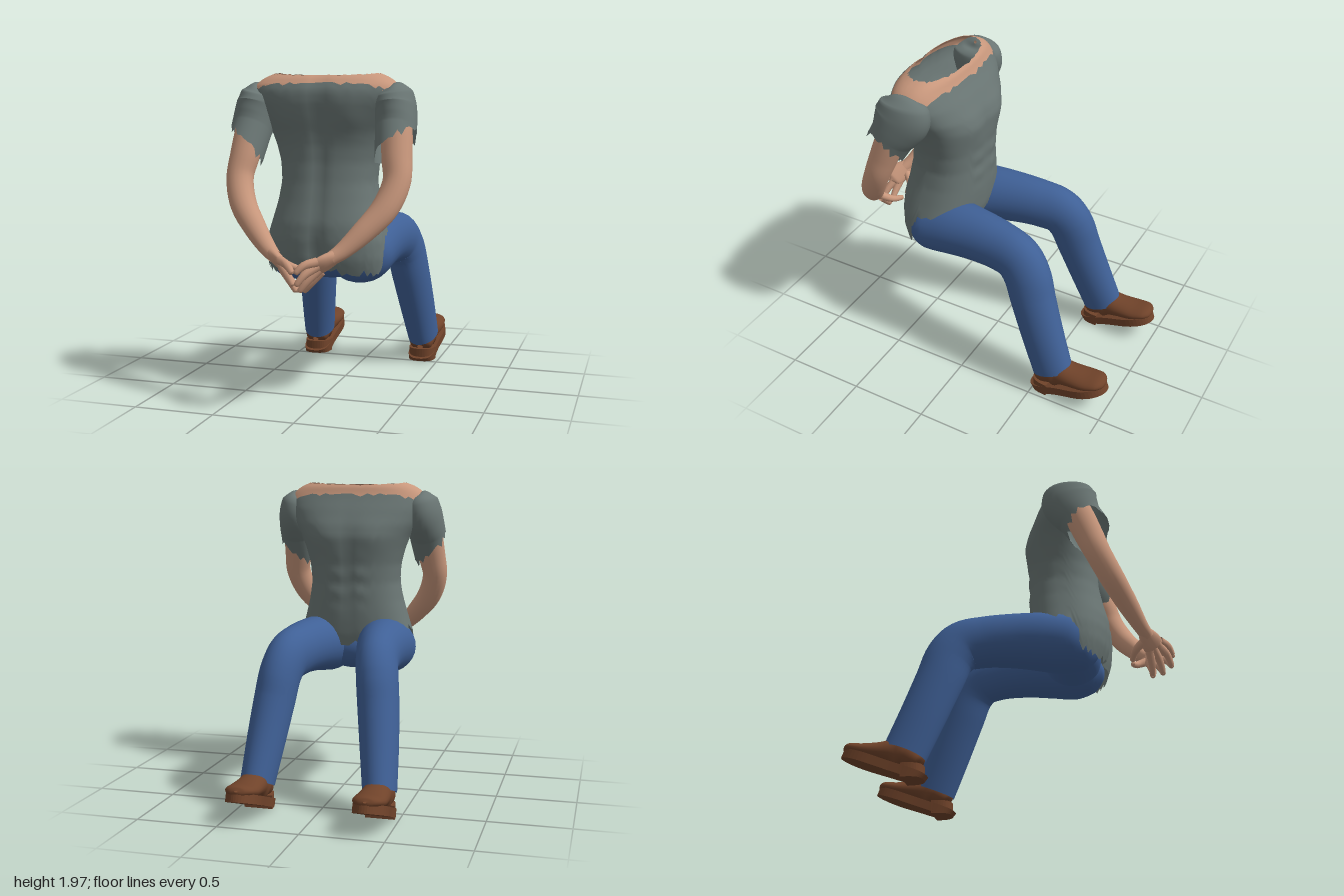
import * as THREE from 'three';

const mat = (name, color) => {
  const m = new THREE.MeshStandardMaterial({ color, side: THREE.DoubleSide });
  m.name = name;
  return m;
};

// Skin a list of closed rings (arrays of Vector3) into one smooth surface
function loft(rows) {
  const n = rows[0].length, index = [];
  for (let i = 0; i < rows.length - 1; i++) {
    for (let j = 0; j < n; j++) {
      const a = i * n + j, b = i * n + (j + 1) % n;
      index.push(a, b, a + n, b, b + n, a + n);
    }
  }
  const g = new THREE.BufferGeometry().setFromPoints(rows.flat());
  g.setIndex(index);
  g.computeVertexNormals();
  return g;
}

// Elliptical tube through points [x, y, z, radius along ref, other radius]
function limb(pts, { n = 20, steps = 28, ref = [1, 0, 0], hem } = {}) {
  const path = new THREE.CatmullRomCurve3(pts.map(p => new THREE.Vector3(p[0], p[1], p[2])));
  const radii = new THREE.CatmullRomCurve3(pts.map(p => new THREE.Vector3(p[3], p[4] ?? p[3], 0)));
  const rows = [], axis = new THREE.Vector3(...ref);
  for (let i = 0; i <= steps; i++) {
    const t = i / steps, c = path.getPoint(t), r = radii.getPoint(t), d = path.getTangent(t);
    const u = axis.clone().addScaledVector(d, -axis.dot(d)).normalize();
    const v = d.clone().cross(u);
    rows.push(Array.from({ length: n }, (_, j) => {
      const a = j / n * Math.PI * 2;
      const p = c.clone().addScaledVector(u, Math.cos(a) * r.x).addScaledVector(v, Math.sin(a) * r.y);
      if (hem && i === steps) p.addScaledVector(d, hem(a, j));
      return p;
    }));
  }
  return loft(rows);
}

// Mirror a geometry across x and keep its faces pointing outwards
function mirrored(geo) {
  const g = geo.index ? geo.toNonIndexed() : geo.clone();
  g.scale(-1, 1, 1);
  for (const key of ['position', 'normal']) {
    const at = g.attributes[key];
    for (let i = 0; i < at.count; i += 3) {
      const b = [at.getX(i + 1), at.getY(i + 1), at.getZ(i + 1)];
      at.setXYZ(i + 1, at.getX(i + 2), at.getY(i + 2), at.getZ(i + 2));
      at.setXYZ(i + 2, ...b);
    }
  }
  return g;
}

// Torso outline by height: [y, half width, z of belly side, z of back]
const PROFILE = [
  [0.70, 0.33, 0.22, 0.52], [0.78, 0.365, 0.18, 0.565], [0.87, 0.38, 0.13, 0.595],
  [0.98, 0.375, 0.10, 0.605], [1.08, 0.345, 0.09, 0.60], [1.20, 0.312, 0.085, 0.57],
  [1.32, 0.292, 0.085, 0.545], [1.44, 0.302, 0.082, 0.53], [1.54, 0.33, 0.076, 0.53],
  [1.62, 0.36, 0.074, 0.54], [1.70, 0.405, 0.092, 0.56], [1.80, 0.455, 0.14, 0.58],
  [1.86, 0.465, 0.175, 0.58], [1.90, 0.445, 0.195, 0.565], [1.94, 0.395, 0.21, 0.53],
  [1.97, 0.32, 0.24, 0.48]];

const bump = (d, w) => Math.exp(-(d * d) / (w * w));
const tear = (j, size) => (j % 2 ? 1 : 0.3) * ((j * 37) % 11) / 11 * size;

function torsoPoint(a, y, inset = 0) {
  let k = 0;
  while (k < PROFILE.length - 2 && PROFILE[k + 1][0] < y) k++;
  const [p, q] = [PROFILE[k], PROFILE[k + 1]];
  const f = (y - p[0]) / (q[0] - p[0]);
  const [, hw, zf, zb] = p.map((v, i) => v + (q[i] - v) * f);
  const round = v => Math.sign(v) * Math.abs(v) ** 0.84;
  const s = -Math.sin(a);
  const x = round(Math.cos(a)) * (hw - inset);
  let z = (zf + zb) / 2 + round(s) * ((zb - zf) / 2 - inset);
  if (s > 0) {                                    // spine and seat groove, shoulder blades
    z -= s * bump(x, 0.04) * (0.018 + 0.03 * bump(y - 0.86, 0.13));
    z += s * 0.015 * bump(Math.abs(x) - 0.2, 0.1) * bump(y - 1.7, 0.12);
  } else {                                        // chest and belly muscles
    z += s * 0.016 * bump(Math.abs(x) - 0.16, 0.11) * bump(y - 1.62, 0.1);
    z -= s * 0.012 * bump(x, 0.03) * bump(y - 1.4, 0.3);
    z += s * 0.005 * bump(Math.abs(x) - 0.08, 0.06) * Math.cos(y * 50) * bump(y - 1.32, 0.15);
  }
  return new THREE.Vector3(x, y, z);
}

function torsoBand(low, high, inset, steps, n = 72) {
  const rows = [];
  for (let i = 0; i <= steps; i++) {
    rows.push(Array.from({ length: n }, (_, j) => {
      const a = j / n * Math.PI * 2;
      return torsoPoint(a, THREE.MathUtils.lerp(low(a, j), high(a, j), i / steps), inset);
    }));
  }
  return loft(rows);
}

export function createModel() {
  const model = new THREE.Group();
  model.name = 'seatedFigure';
  const skin = mat('skin', 0xc8977c), cloth = mat('greyCloth', 0x6a7674);
  const denim = mat('blueDenim', 0x3f6096), leather = mat('brownLeather', 0x70432a);

  const add = (name, geo, material) => {
    const m = new THREE.Mesh(geo, material);
    m.name = name;
    model.add(m);
  };
  const addPair = (name, geo, material) => {
    add('left' + name, geo, material);
    add('right' + name, mirrored(geo), material);
  };

  // Torn shirt: long over the seat, short over the lap, wide ragged collar
  const hem = (a, j) => {
    const s = -Math.sin(a);
    const low = THREE.MathUtils.smoothstep(s, 0.0, 0.35);
    const base = s < -0.9 ? 0.9 : 1.0;
    return base + (0.765 - base) * low + 0.05 * bump(Math.cos(a), 0.25) * low + tear(j, 0.05);
  };
  const collar = (a, j) => 1.915 - 0.06 * Math.cos(a) ** 4 - (Math.sin(a) > 0.3 ? 0.015 : 0) - tear(j, 0.025);
  add('shirtBody', torsoBand(hem, collar, 0, 44), cloth);

  // Bare shoulders around the open neck
  add('shoulderSkin', torsoBand(a => collar(a, 0) - 0.04,
    (a, j) => 1.968 - 0.012 * Math.sin(a) ** 2 - tear(j, 0.008), 0.004, 8), skin);

  // Sleeves with a slanted ragged hem
  addPair('Sleeve', limb([
    [0.40, 1.89, 0.39, 0.01], [0.41, 1.88, 0.39, 0.06, 0.10], [0.42, 1.845, 0.39, 0.108, 0.16],
    [0.43, 1.77, 0.40, 0.122, 0.178], [0.443, 1.69, 0.435, 0.122, 0.16], [0.452, 1.62, 0.475, 0.12, 0.135],
  ], { n: 30, hem: (a, j) => 0.085 * (1 - Math.cos(a)) - 0.015 + tear(j, 0.06) }), cloth);

  // Arms reaching behind the back
  addPair('Arm', limb([
    [0.45, 1.72, 0.44, 0.085], [0.46, 1.60, 0.48, 0.092], [0.472, 1.48, 0.525, 0.09, 0.088],
    [0.485, 1.35, 0.575, 0.082, 0.08], [0.435, 1.20, 0.65, 0.08, 0.075], [0.33, 1.07, 0.73, 0.068, 0.064],
    [0.225, 0.965, 0.80, 0.05, 0.046], [0.17, 0.925, 0.835, 0.04],
  ], { steps: 36 }), skin);

  // Hands: flat palm, four spread fingers and a thumb
  const spread = [0, -0.65, -0.75];
  addPair('Palm', limb([
    [0.20, 0.945, 0.815, 0.04, 0.038], [0.165, 0.92, 0.835, 0.058, 0.035],
    [0.125, 0.895, 0.858, 0.068, 0.032], [0.085, 0.872, 0.875, 0.062, 0.025], [0.065, 0.864, 0.882, 0.005],
  ], { ref: spread, steps: 14 }), skin);
  const fingers = [
    ['IndexFinger', [0.11, 0.915, 0.905], [0.05, 0.90, 0.955], [0.010, 0.86, 0.98]],
    ['MiddleFinger', [0.11, 0.89, 0.89], [0.05, 0.845, 0.945], [0.010, 0.79, 0.97]],
    ['RingFinger', [0.11, 0.865, 0.865], [0.05, 0.80, 0.90], [0.010, 0.745, 0.915]],
    ['LittleFinger', [0.115, 0.85, 0.84], [0.06, 0.785, 0.85], [0.014, 0.733, 0.85]],
    ['Thumb', [0.16, 0.90, 0.815], [0.11, 0.86, 0.755], [0.03, 0.83, 0.73]],
  ];
  for (const [name, base, mid, tip] of fingers) {
    const end = tip.map((v, i) => v + (v - mid[i]) * 0.1);
    addPair(name, limb([[...base, 0.028], [...mid, 0.023], [...tip, 0.016], [...end, 0.002]],
      { n: 10, steps: 12 }), skin);
  }

  // Trousers: seat, then thighs bending at the knee down to the cuffs
  const seat = new THREE.SphereGeometry(1, 32, 20).scale(0.3, 0.155, 0.185).translate(0, 0.88, 0.345);
  add('trouserSeat', seat, denim);
  addPair('TrouserLeg', limb([
    [0.175, 0.875, 0.535, 0.01], [0.175, 0.872, 0.52, 0.07, 0.07], [0.182, 0.87, 0.46, 0.145, 0.145],
    [0.203, 0.882, 0.34, 0.197, 0.182], [0.222, 0.905, 0.2, 0.183, 0.183], [0.242, 0.918, 0.02, 0.16, 0.173],
    [0.266, 0.912, -0.17, 0.14, 0.165], [0.288, 0.882, -0.30, 0.13, 0.165], [0.308, 0.80, -0.375, 0.128, 0.158],
    [0.328, 0.65, -0.43, 0.126, 0.15], [0.355, 0.42, -0.515, 0.117, 0.143], [0.382, 0.165, -0.614, 0.102, 0.138],
  ], { n: 28, steps: 55 }), denim);

  // Shoes: built flat with the toe towards -z, then tipped up on the heel
  const place = (g, tilt, y, z) => g.rotateX(tilt).translate(0.382, y, z);
  const upper = [
    [-0.045, 0.055, 0.02, 0.02], [-0.055, 0.06, 0.05, 0.065], [-0.09, 0.07, 0.07, 0.082],
    [-0.15, 0.085, 0.085, 0.088], [-0.22, 0.08, 0.085, 0.088], [-0.30, 0.06, 0.065, 0.093],
    [-0.40, 0.04, 0.05, 0.098], [-0.48, 0.035, 0.038, 0.085], [-0.515, 0.03, 0.025, 0.05], [-0.525, 0.03, 0.005, 0.01]];
  addPair('ShoeUpper', place(limb(upper.map(([z, y, h, w]) => [0, y, z, w, h]), { n: 24, steps: 30 }),
    0.3, 0.03, -0.488), leather);
  const outline = length => {
    const s = new THREE.Shape();
    s.moveTo(0, 0);
    s.bezierCurveTo(0.07, 0, 0.09, 0.04, 0.09, 0.12);
    if (length > 0.2) {
      s.bezierCurveTo(0.085, 0.24, 0.105, 0.3, 0.107, 0.38);
      s.bezierCurveTo(0.105, 0.48, 0.05, length, 0, length);
      s.bezierCurveTo(-0.06, length, -0.1, 0.48, -0.102, 0.38);
      s.bezierCurveTo(-0.1, 0.3, -0.085, 0.24, -0.09, 0.12);
    } else {
      s.lineTo(-0.09, 0.12);
    }
    s.bezierCurveTo(-0.09, 0.04, -0.07, 0, 0, 0);
    return s;
  };
  const slab = (length, depth) => new THREE.ExtrudeGeometry(outline(length),
    { depth, bevelEnabled: false, curveSegments: 10 }).rotateX(-Math.PI / 2);
  // The sole is worn flat where it meets the ground
  const sole = place(slab(0.54, 0.055), 0.35, -0.03, -0.49);
  const at = sole.attributes.position;
  for (let i = 0; i < at.count; i++) at.setY(i, Math.max(at.getY(i), 0));
  sole.computeVertexNormals();
  addPair('ShoeSole', sole, leather);
  addPair('ShoeHeel', place(slab(0.11, 0.085), 0, 0, -0.492), leather);

  return model;
}
